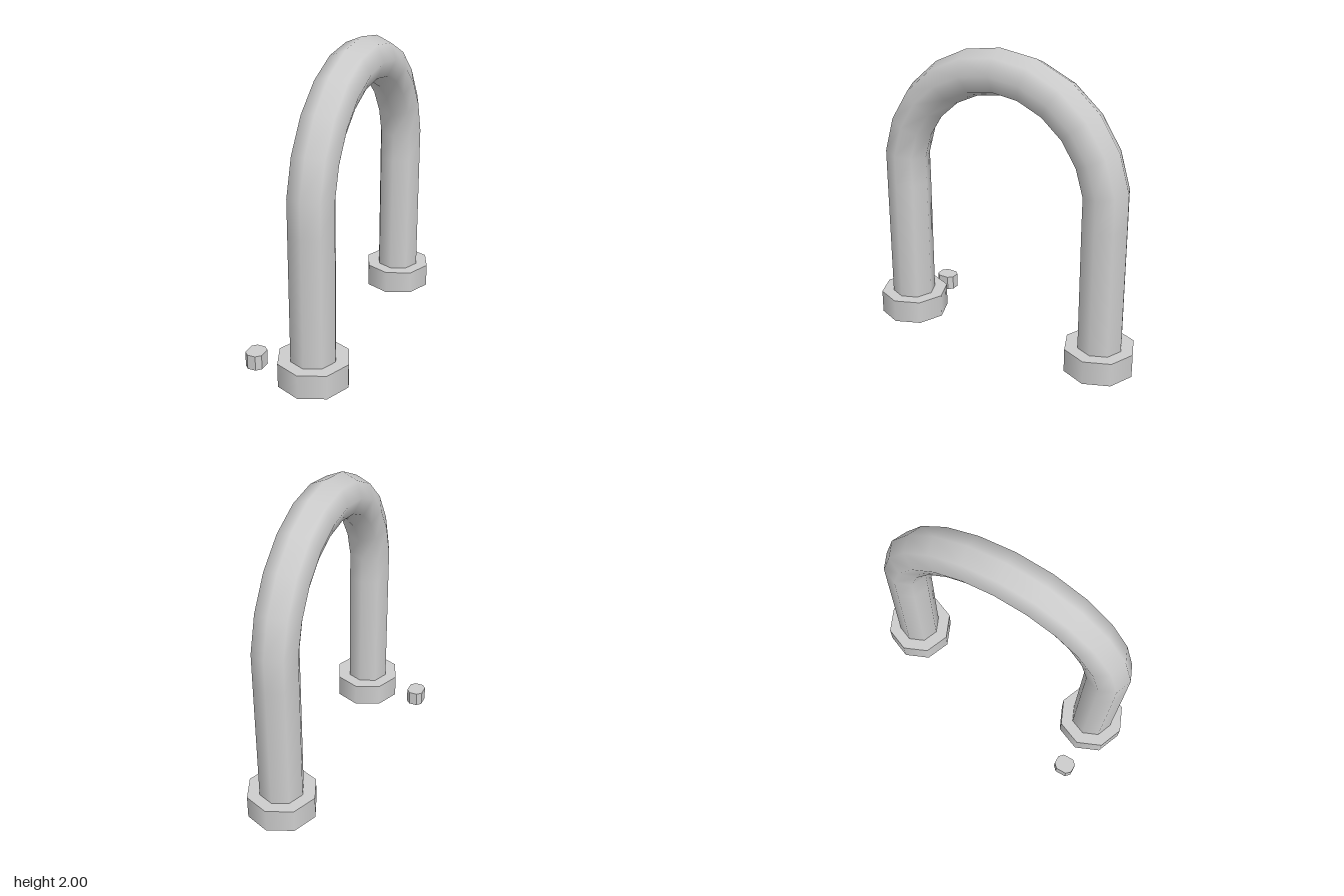
import * as THREE from 'three';

const CX = 0.112, LEG_Z = 0.742, ARC_Y = 1.1, ARC_R = 0.75;

// Centre line of the bent bar: straight leg, eleven arc stations, straight leg
class ArchPath extends THREE.Curve {
  constructor() {
    super();
    this.stations = [];
    const add = (y, z, ty, tz) => this.stations.push({
      p: new THREE.Vector3(CX, y, z), t: new THREE.Vector3(0, ty, tz).normalize() });
    add(0.08, LEG_Z, 1, 0);
    add(1.0, LEG_Z, 1, 0);
    for (let i = 5; i >= -5; i--) {
      const a = i * Math.PI / 11;
      add(ARC_Y + ARC_R * Math.cos(a), ARC_R * Math.sin(a), Math.sin(a), -Math.cos(a));
    }
    add(1.0, -LEG_Z, -1, 0);
    add(0.08, -LEG_Z, -1, 0);
  }
  station(u) { return this.stations[Math.round(u * (this.stations.length - 1))]; }
  getPoint(u, target = new THREE.Vector3()) { return target.copy(this.station(u).p); }
  getPointAt(u, target) { return this.getPoint(u, target); }
  getTangentAt(u, target = new THREE.Vector3()) { return target.copy(this.station(u).t); }
}

export function createModel() {
  const group = new THREE.Group();
  const steel = new THREE.MeshStandardMaterial({ color: 0xcccccc });
  steel.name = 'steel grey';

  const add = (name, geometry, x = 0, y = 0, z = 0) => {
    const mesh = new THREE.Mesh(geometry, steel);
    mesh.name = name;
    mesh.position.set(x, y, z);
    group.add(mesh);
  };

  // Octagonal bar bent into an arch
  const path = new ArchPath();
  add('archBar', new THREE.TubeGeometry(path, path.stations.length - 1, 0.149, 8, false));

  // Octagonal foot under each leg
  for (const [name, side] of [['frontFoot', 1], ['backFoot', -1]]) {
    add(name, new THREE.CylinderGeometry(0.234, 0.234, 0.16, 8), CX, 0.08, side * 0.739);
  }

  // Small chamfered block beside the front foot
  const w = 0.058, d = 0.068, c = 0.03;
  const outline = new THREE.Shape([
    [w, -d + c], [w, d - c], [w - c, d], [-w + c, d],
    [-w, d - c], [-w, -d + c], [-w + c, -d], [w - c, -d],
  ].map(([x, y]) => new THREE.Vector2(x, y)));
  const block = new THREE.ExtrudeGeometry(outline, { depth: 0.1, bevelEnabled: false });
  block.rotateX(-Math.PI / 2);
  add('smallBlock', block, -0.292, 0, 0.736);

  return group;
}
